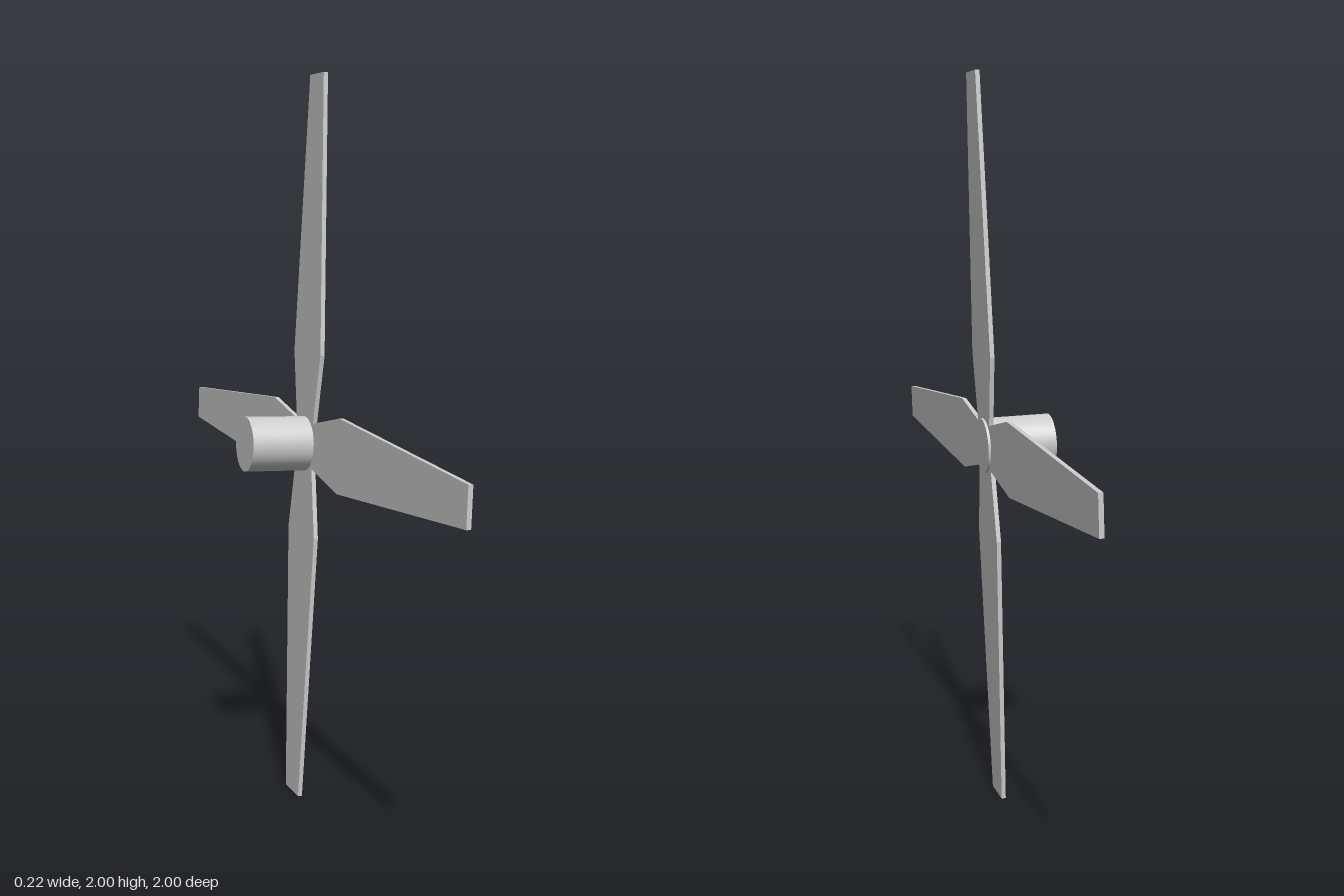
import * as THREE from 'three';

export function createModel() {
  const model = new THREE.Group();
  model.name = 'rotor';
  const material = new THREE.MeshStandardMaterial({ color: 0xcccccc });

  // Everything spins about local x; the whole rotor leans slightly
  const rotor = new THREE.Group();
  rotor.name = 'tiltedRotor';
  rotor.position.set(0.07, 0.9996, 0);
  rotor.rotation.z = THREE.MathUtils.degToRad(-2);
  model.add(rotor);

  // Hub: plain shaft, its front end just proud of the blades
  const back = -0.179, front = 0.013, radius = 0.075;
  const hubGeometry = new THREE.CylinderGeometry(radius, radius, front - back, 48);
  hubGeometry.rotateZ(-Math.PI / 2);
  hubGeometry.translate((front + back) / 2, 0, 0);
  const hub = new THREE.Mesh(hubGeometry, material);
  hub.name = 'hub';
  rotor.add(hub);

  // Blade: mitred root, widest at a quarter of its length, narrow tip
  const thickness = 0.012;
  const half = [[0.0625, 0.0625], [0.1, 0.25], [0.05, 1]];
  const outline = [
    [0, 0],
    ...half,
    ...half.map(([w, r]) => [-w, r]).reverse(),
  ].map(([w, r]) => new THREE.Vector2(w, r));
  const bladeGeometry = new THREE.ExtrudeGeometry(new THREE.Shape(outline), {
    depth: thickness,
    bevelEnabled: false,
  });
  bladeGeometry.translate(0, 0, -thickness / 2);
  bladeGeometry.rotateY(Math.PI / 2);

  for (let i = 0; i < 4; i++) {
    const blade = new THREE.Mesh(bladeGeometry, material);
    blade.name = `blade${i + 1}`;
    blade.rotation.x = (i * Math.PI) / 2;
    rotor.add(blade);
  }

  return model;
}
